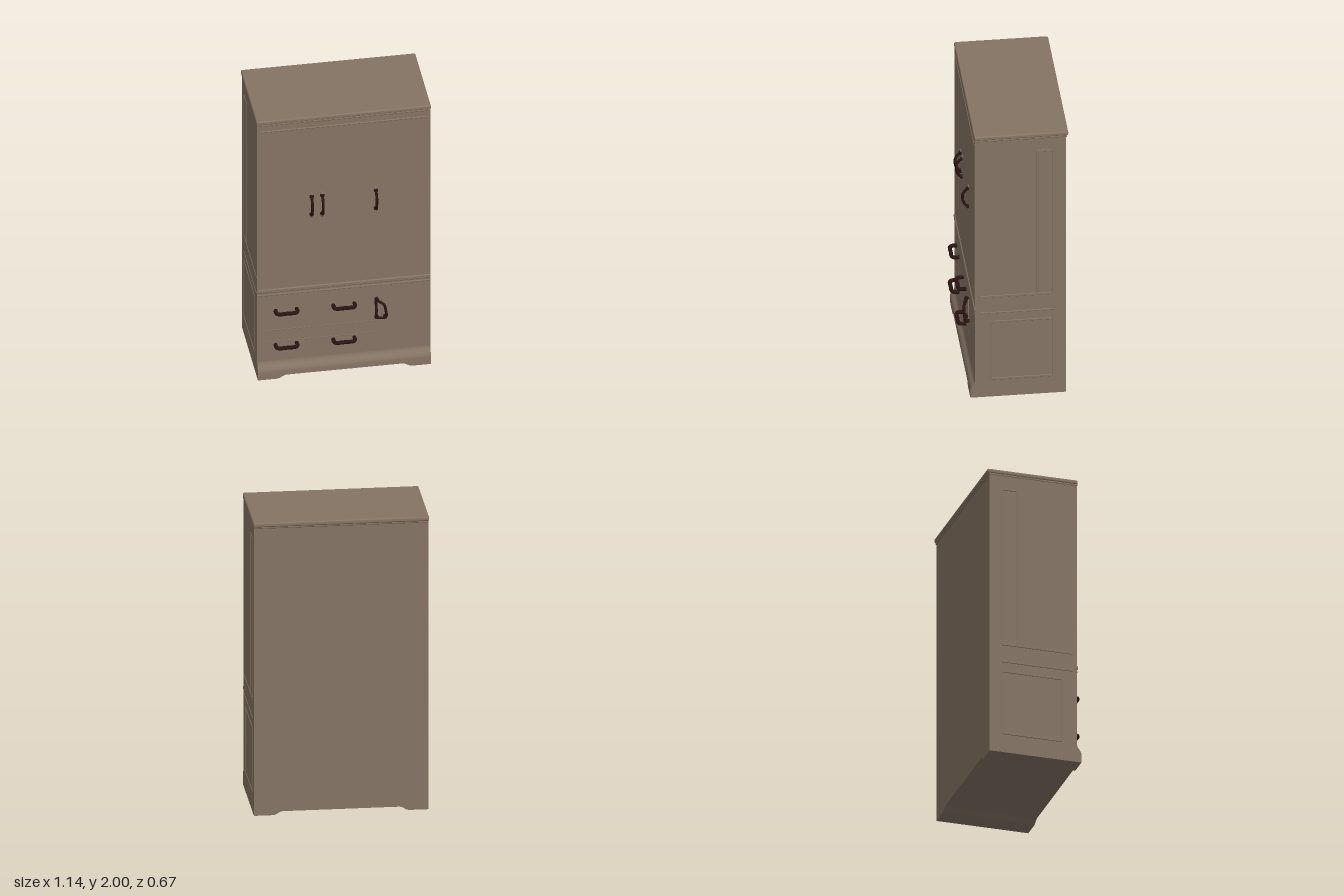
import * as THREE from 'three';
import { RoundedBoxGeometry } from 'three/addons/geometries/RoundedBoxGeometry.js';
import { toCreasedNormals } from 'three/addons/utils/BufferGeometryUtils.js';

export function createModel() {
  const model = new THREE.Group();
  const material = (name, color) => {
    const m = new THREE.MeshStandardMaterial({ color });
    m.name = name;
    return m;
  };
  const wood = material('taupe wood', 0x857464);
  const iron = material('dark bronze', 0x2a1312);
  const pale = material('worn bronze', 0x85766a);

  const add = (name, geometry, mat, x = 0, y = 0, z = 0, parent = model) => {
    const mesh = new THREE.Mesh(geometry, mat);
    mesh.name = name;
    mesh.position.set(x, y, z);
    parent.add(mesh);
    return mesh;
  };
  const rounded = (name, w, h, d, r, x, y, z) =>
    add(name, new RoundedBoxGeometry(w, h, d, 2, r), wood, x, y, z);
  const tube = (points, r) => new THREE.TubeGeometry(
    new THREE.CatmullRomCurve3(points.map(p => new THREE.Vector3(...p))), 24, r, 8);

  // Carcass and stepped cornice
  add('carcass', new THREE.BoxGeometry(1.13, 1.945, 0.59), wood, 0, 0.9975, -0.025);
  rounded('corniceCap', 1.14, 0.03, 0.61, 0.01, 0, 1.985, -0.03);
  rounded('corniceMoulding', 1.134, 0.016, 0.6, 0.006, 0, 1.966, -0.027);

  // Flared plinth across the front, as a (z, y) profile run along x
  const flare = new THREE.Shape();
  flare.moveTo(0.2, 0.025);
  flare.lineTo(0.3, 0.025);
  flare.lineTo(0.3, 0.055);
  flare.bezierCurveTo(0.298, 0.09, 0.274, 0.09, 0.27, 0.125);
  flare.lineTo(0.2, 0.125);
  const flareGeo = new THREE.ExtrudeGeometry(flare, { depth: 1.13, bevelEnabled: false, curveSegments: 10 });
  flareGeo.rotateY(-Math.PI / 2);
  add('flaredPlinth', toCreasedNormals(flareGeo, 0.6), wood, 0.565, 0, 0);

  // Feet with curved inner ends, running front to back
  for (const s of [-1, 1]) {
    const foot = new THREE.Shape();
    foot.moveTo(s * 0.565, 0);
    foot.lineTo(s * 0.44, 0);
    foot.bezierCurveTo(s * 0.41, 0.004, s * 0.41, 0.022, s * 0.37, 0.027);
    foot.lineTo(s * 0.565, 0.027);
    add(s < 0 ? 'rightFoot' : 'leftFoot',
      new THREE.ExtrudeGeometry(foot, { depth: 0.62, bevelEnabled: false }), wood, 0, 0, -0.32);
  }

  // Front mouldings, frame edges and drawer divisions
  rounded('waistMoulding', 1.134, 0.03, 0.02, 0.008, 0, 0.67, 0.267);
  rounded('waistBead', 1.13, 0.014, 0.012, 0.005, 0, 0.638, 0.268);
  rounded('friezeBead', 1.1, 0.012, 0.012, 0.005, 0, 1.915, 0.268);
  for (const s of [-1, 1])
    rounded('frontEdge', 0.012, 1.22, 0.008, 0.003, s * 0.552, 1.3, 0.268);
  for (const y of [0.27, 0.36])
    rounded('drawerRail', 0.74, 0.01, 0.006, 0.002, -0.15, y, 0.268);

  // Raised beads outlining the side panels: [y, z, height, depth]
  const beads = [
    [1.32, -0.133, 1.1, 0.014], [1.866, -0.18, 0.014, 0.1],
    [0.767, 0, 0.018, 0.48], [0.643, 0, 0.012, 0.48],
    [0.355, 0.167, 0.45, 0.012], [0.573, -0.03, 0.014, 0.4],
    [0.135, -0.03, 0.016, 0.4], [0.355, -0.237, 0.45, 0.008],
    [1.32, -0.237, 1.1, 0.008]
  ];
  for (const s of [-1, 1])
    for (const [y, z, h, d] of beads)
      rounded('sidePanelBead', 0.008, h, d, 0.003, s * 0.5645, y, z);

  // Bowed door pulls with round mounts and pale tips
  const pullGeo = tube([[0, -0.07, 0.27], [0, -0.058, 0.288], [0, -0.025, 0.306],
    [0, 0.025, 0.308], [0, 0.055, 0.29], [0, 0.07, 0.27]], 0.009);
  const mountGeo = new THREE.SphereGeometry(0.015, 12, 8);
  const tipGeo = new THREE.SphereGeometry(0.011, 10, 8).scale(1, 1.3, 0.6);
  for (const x of [-0.21, -0.14, 0.21]) {
    const pull = new THREE.Group();
    pull.name = 'doorPull';
    pull.position.set(x, 1.31, 0);
    model.add(pull);
    add('bow', pullGeo, iron, 0, 0, 0, pull);
    for (const s of [-1, 1]) {
      add('mount', mountGeo, iron, 0, s * 0.07, 0.272, pull);
      add('mountTip', tipGeo, pale, 0, s * 0.085, 0.271, pull);
    }
  }

  // Bail handles on the four drawers
  const bailGeo = tube([[-0.068, 0, 0.265], [-0.07, 0, 0.295], [-0.06, 0, 0.315],
    [0, 0, 0.318], [0.06, 0, 0.315], [0.07, 0, 0.295], [0.068, 0, 0.265]], 0.013);
  for (const x of [-0.376, 0])
    for (const y of [0.247, 0.513]) add('drawerHandle', bailGeo, iron, x, y, 0);

  // Latch with a tall back plate and a hanging loop
  const latch = new THREE.Group();
  latch.name = 'sideLatch';
  model.add(latch);
  add('backPlate', new RoundedBoxGeometry(0.018, 0.2, 0.01, 2, 0.004), pale, 0.212, 0.445, 0.272, latch);
  add('loop', tube([[0.212, 0.54, 0.27], [0.225, 0.525, 0.295], [0.255, 0.505, 0.305],
    [0.268, 0.46, 0.305], [0.27, 0.4, 0.3], [0.212, 0.398, 0.295]], 0.009), iron, 0, 0, 0, latch);
  add('post', tube([[0.208, 0.54, 0.275], [0.208, 0.47, 0.3], [0.208, 0.395, 0.295]], 0.009), iron, 0, 0, 0, latch);
  add('innerBar', tube([[0.235, 0.5, 0.295], [0.244, 0.45, 0.3], [0.245, 0.405, 0.296]], 0.006), pale, 0, 0, 0, latch);
  for (const [x, y] of [[0.212, 0.535], [0.27, 0.4], [0.212, 0.4]])
    add('knuckle', mountGeo, iron, x, y, 0.285, latch);

  return model;
}
